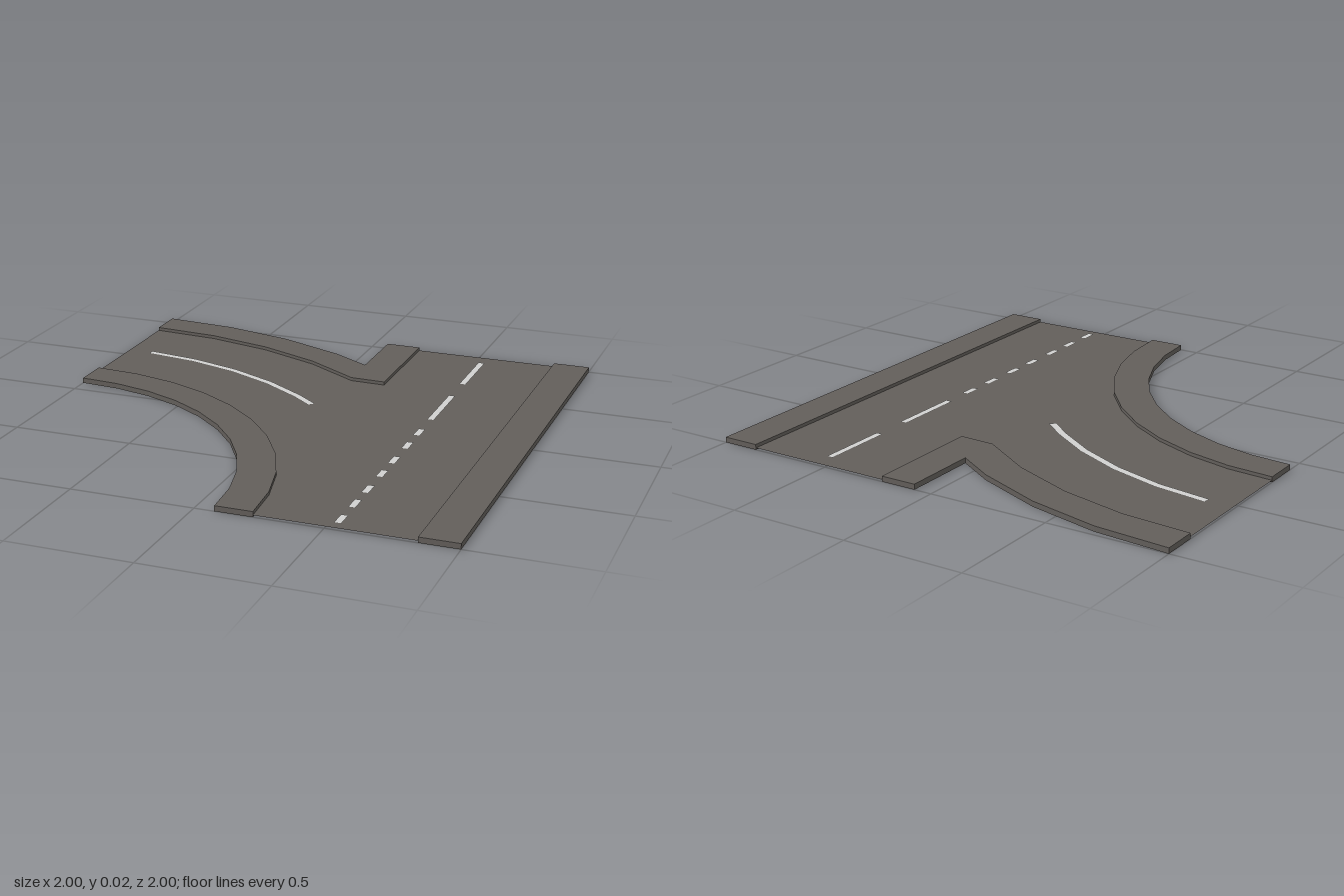
import * as THREE from 'three';

const CURB_H = 0.022, ROAD_Y = 0.008, MARK_Y = 0.0105;
const STEP = 9;

// Point [x, z] on a circle about the bend centre (-1, 1); 0 degrees points to the back
const polar = (r, deg) => {
  const a = THREE.MathUtils.degToRad(deg);
  return [-1 + r * Math.sin(a), 1 - r * Math.cos(a)];
};

// Points along an arc in equal facets
function arc(r, from, to) {
  const pts = [], n = Math.round(Math.abs(to - from) / STEP);
  for (let i = 0; i <= n; i++) pts.push(polar(r, from + (to - from) * i / n));
  return pts;
}

const outline = (pts) => new THREE.Shape(pts.map(([x, z]) => new THREE.Vector2(x, -z)));

// Flat face lying at height y
function plate(name, pts, y, material) {
  const mesh = new THREE.Mesh(new THREE.ShapeGeometry(outline(pts)).rotateX(-Math.PI / 2), material);
  mesh.name = name;
  mesh.position.y = y;
  return mesh;
}

// Raised solid standing on the ground
function slab(name, pts, material) {
  const geo = new THREE.ExtrudeGeometry(outline(pts), { depth: CURB_H, bevelEnabled: false });
  const mesh = new THREE.Mesh(geo.rotateX(-Math.PI / 2), material);
  mesh.name = name;
  return mesh;
}

export function createModel() {
  const asphalt = new THREE.MeshStandardMaterial({ color: 0x625e5a, side: THREE.DoubleSide });
  asphalt.name = 'asphalt grey';
  const paint = new THREE.MeshStandardMaterial({ color: 0xd0d0ce });
  paint.name = 'line white';

  const model = new THREE.Group();
  model.name = 'roadJunction';

  // Road surface between the kerbs
  const kerbBack = [...arc(1.85, 0, 27), [0.075, -0.5], [0.225, -0.495]];
  model.add(plate('roadSurface', [
    ...kerbBack, [0.225, -1], [0.845, -1], [0.845, 1], ...arc(1.23, 90, 0),
  ], ROAD_Y, asphalt));

  // Pavements: straight side, inside of the bend, and the back corner
  model.add(slab('straightPavement', [[0.845, -1], [1, -1], [1, 1], [0.845, 1]], asphalt));
  model.add(slab('innerPavement', [...arc(1.08, 0, 90), ...arc(1.23, 90, 0)], asphalt));
  model.add(slab('cornerPavement', [
    ...arc(2, 0, 27), [0.075, -0.68], [0.075, -1], [0.225, -1], ...kerbBack.slice().reverse(),
  ], asphalt));

  // Dashes along the straight lane: two long, then a row of short ones
  const dashes = [
    [-0.925, -0.62], [-0.465, -0.155], [-0.04, 0.035], [0.115, 0.19], [0.28, 0.355],
    [0.43, 0.5], [0.59, 0.665], [0.735, 0.81], [0.885, 0.96],
  ];
  const markings = new THREE.Group();
  markings.name = 'laneMarkings';
  for (const [z0, z1] of dashes) {
    markings.add(plate('laneDash', [[0.523, z0], [0.55, z0], [0.55, z1], [0.523, z1]], MARK_Y, paint));
  }

  // Curved line round the bend
  const angles = [4, 12.5, 21, 29.3, 37, 41.5];
  markings.add(plate('bendLine', [
    ...angles.map((a) => polar(1.556, a)),
    ...angles.slice().reverse().map((a) => polar(1.526, a)),
  ], MARK_Y, paint));
  model.add(markings);

  return model;
}
